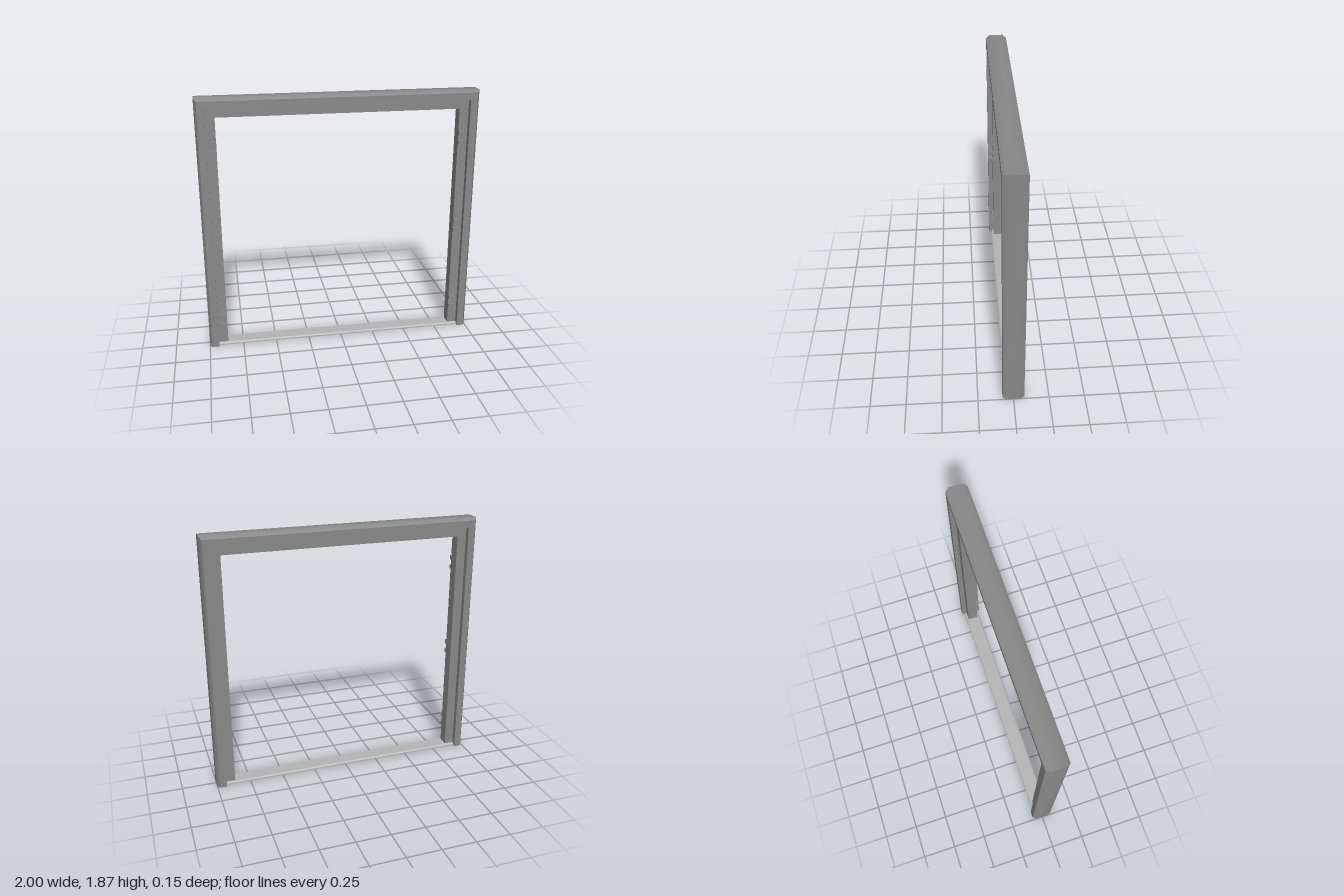
import * as THREE from 'three';
import { toCreasedNormals } from 'three/addons/utils/BufferGeometryUtils.js';

const H = 1.87;      // overall height
const STOP_Z = 0.04; // half depth of the inner stop

// Frame cross-section: [inset from the outer edge, z]
const PROFILE = [
  [0, -0.05], [0, 0.05], [0.018, 0.077], [0.068, 0.077], [0.068, STOP_Z],
  [0.136, STOP_Z], [0.136, -STOP_Z], [0.068, -STOP_Z], [0.068, -0.077], [0.018, -0.077],
];

// Sweep the cross-section up one jamb, across the head and down the other, with mitred corners
function sweptFrame() {
  const stations = [
    (d, z) => [-1 + d, 0, z],
    (d, z) => [-1 + d, H - d, z],
    (d, z) => [1 - d, H - d, z],
    (d, z) => [1 - d, 0, z],
  ];
  const pos = [];
  for (let s = 0; s < 3; s++) {
    PROFILE.forEach((p, i) => {
      const q = PROFILE[(i + 1) % PROFILE.length];
      const a = stations[s](...p), b = stations[s](...q);
      const c = stations[s + 1](...q), d = stations[s + 1](...p);
      pos.push(...a, ...b, ...c, ...a, ...c, ...d);
    });
  }
  const geo = new THREE.BufferGeometry();
  geo.setAttribute('position', new THREE.Float32BufferAttribute(pos, 3));
  return toCreasedNormals(geo, THREE.MathUtils.degToRad(45));
}

export function createModel() {
  const group = new THREE.Group();
  group.name = 'doorFrame';

  const frameGrey = new THREE.MeshStandardMaterial({ color: 0x8a8989 });
  frameGrey.name = 'frame grey';
  const sillGrey = new THREE.MeshStandardMaterial({ color: 0xb4b5b4 });
  sillGrey.name = 'sill light grey';

  const add = (name, geo, mat) => {
    const mesh = new THREE.Mesh(geo, mat);
    mesh.name = name;
    group.add(mesh);
    return mesh;
  };

  // Jambs and head in one piece
  add('jambsAndHead', sweptFrame(), frameGrey);

  // Closed feet under both jambs
  const section = new THREE.Shape(PROFILE.map(([d, z]) => new THREE.Vector2(d, z)));
  for (const side of [-1, 1]) {
    const foot = new THREE.ShapeGeometry(section);
    foot.rotateX(Math.PI / 2);
    if (side > 0) foot.rotateY(Math.PI);
    foot.translate(side, 0, 0);
    add(side > 0 ? 'leftJambFoot' : 'rightJambFoot', foot, frameGrey);
  }

  // Threshold with bevelled long edges
  const sill = new THREE.Shape([
    [-0.06, 0.002], [0.06, 0.002], [0.06, 0.012], [0.05, 0.02], [-0.05, 0.02], [-0.06, 0.012],
  ].map(([z, y]) => new THREE.Vector2(z, y)));
  const sillGeo = new THREE.ExtrudeGeometry(sill, { depth: 1.88, bevelEnabled: false });
  sillGeo.translate(0, 0, -0.94);
  sillGeo.rotateY(Math.PI / 2);
  add('threshold', sillGeo, sillGrey);

  // Pairs of small blocks on the front of each stop
  const blockGeo = new THREE.BoxGeometry(0.05, 0.03, 0.018);
  for (const side of [-1, 1]) {
    for (const y of [0.205, 0.847, 1.522]) {
      for (const dy of [-0.036, 0.036]) {
        const block = add(side > 0 ? 'leftHingeBlock' : 'rightHingeBlock', blockGeo, frameGrey);
        block.position.set(side * 0.888, y + dy, STOP_Z + 0.009);
      }
    }
  }
  return group;
}
